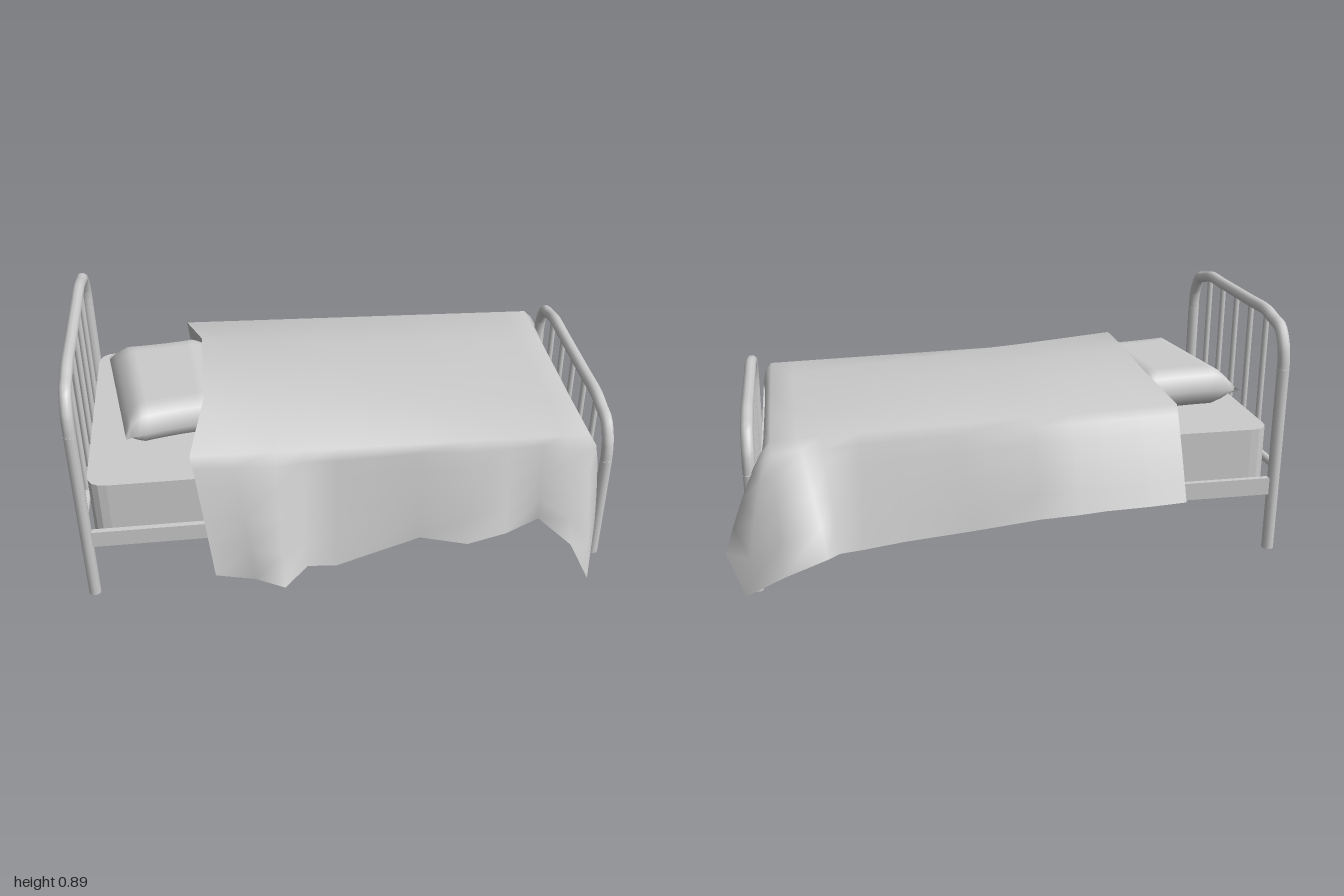
import * as THREE from 'three';
import { mergeVertices } from 'three/addons/utils/BufferGeometryUtils.js';

const MID_Z = -0.014; // centre line of the metal frame
const metal = new THREE.MeshStandardMaterial({ color: 0xcccccc });
const cloth = new THREE.MeshStandardMaterial({ color: 0xcccccc, side: THREE.DoubleSide });
const lerp = THREE.MathUtils.lerp;

function add(parent, name, geometry, material = metal) {
  const mesh = new THREE.Mesh(geometry, material);
  mesh.name = name;
  parent.add(mesh);
  return mesh;
}

// Upright rod between two heights
function rod(parent, name, r, y0, y1, z) {
  add(parent, name, new THREE.CylinderGeometry(r, r, y1 - y0, 10)).position.set(0, (y0 + y1) / 2, z);
}

// Arched end frame with legs, five bars and a cross rail
function endFrame(name, x, top, railY) {
  const g = new THREE.Group();
  g.name = name;
  g.position.set(x, 0, MID_Z);
  const half = [[0.461, -0.17], [0.459, -0.135], [0.449, -0.09], [0.409, -0.031], [0.35, -0.016], [0.279, 0], [0.14, 0]];
  const points = half.map(([z, y]) => new THREE.Vector3(0, top + y, z));
  const mirrored = half.map(([z, y]) => new THREE.Vector3(0, top + y, -z)).reverse();
  const curve = new THREE.CatmullRomCurve3([...points, ...mirrored]);
  add(g, 'arch', new THREE.TubeGeometry(curve, 56, 0.022, 10));
  for (const s of [-1, 1]) rod(g, 'leg', 0.022, 0, top - 0.17, s * 0.461);
  for (let i = -2; i <= 2; i++) rod(g, 'bar', 0.011, railY, top, i * 0.143);
  const rail = add(g, 'crossRail', new THREE.CylinderGeometry(0.015, 0.015, 0.92, 10));
  rail.rotation.x = Math.PI / 2;
  rail.position.y = railY;
  return g;
}

// Mattress slab with rounded corners
function mattressGeometry() {
  const x0 = -0.955, x1 = 0.865, z0 = -0.46, z1 = 0.43, r = 0.07;
  const s = new THREE.Shape();
  s.moveTo(x0 + r, z0);
  s.lineTo(x1 - r, z0);
  s.quadraticCurveTo(x1, z0, x1, z0 + r);
  s.lineTo(x1, z1 - r);
  s.quadraticCurveTo(x1, z1, x1 - r, z1);
  s.lineTo(x0 + r, z1);
  s.quadraticCurveTo(x0, z1, x0, z1 - r);
  s.lineTo(x0, z0 + r);
  s.quadraticCurveTo(x0, z0, x0 + r, z0);
  return new THREE.ExtrudeGeometry(s, { depth: 0.24, bevelEnabled: false, curveSegments: 4 })
    .rotateX(Math.PI / 2).translate(0, 0.47, 0);
}

// Pillow: a box pinched to a seam and skewed to four corners
function pillowGeometry() {
  let geo = new THREE.BoxGeometry(2, 2, 2, 16, 1, 16);
  const p = geo.attributes.position;
  for (let i = 0; i < p.count; i++) {
    const u = p.getX(i), v = p.getZ(i), a = (u + 1) / 2, b = (v + 1) / 2;
    const puff = Math.min(1, (1 - Math.abs(u)) / 0.35) * Math.min(1, (1 - Math.abs(v)) / 0.2);
    const pinch = 1 - 0.05 * (1 - u * u);
    p.setXYZ(i,
      lerp(lerp(-0.9, -0.5, a), lerp(-0.81, -0.46, a), b),
      0.567 + 0.072 * p.getY(i) * Math.pow(puff, 0.7),
      lerp(lerp(-0.29, -0.33, a), lerp(0.3, 0.23, a), b) * pinch);
  }
  geo.deleteAttribute('normal');
  geo.deleteAttribute('uv');
  geo = mergeVertices(geo, 1e-4);
  geo.computeVertexNormals();
  return geo;
}

// Blanket: a crowned top sheet and a skirt that falls to an uneven hem
function blanketGeometry() {
  const xs = [-0.59, -0.45, -0.3, -0.2, -0.08, 0.2, 0.4, 0.53, 0.66, 0.74, 0.83];
  const zs = [0.44, 0.22, 0, -0.22, -0.47];
  const crown = [0, 1, 1, 0.85, 0.15];
  const topPoint = (i, j) => {
    const t = (xs[i] - xs[0]) / (xs[10] - xs[0]);
    const inner = j > 0 && j < 4;
    return [
      inner ? lerp(-0.53, 0.83, t) : xs[i],
      lerp(lerp(0.575, 0.545, t), lerp(0.67, 0.55, t), crown[j]),
      zs[j],
    ];
  };
  const frontHem = [[-0.53, 0.14, 0.57], [-0.39, 0.125, 0.59], [-0.29, 0.165, 0.69], [-0.2, 0.13, 0.55],
    [-0.09, 0.09, 0.515], [0.22, 0.17, 0.49], [0.38, 0.19, 0.57], [0.53, 0.2, 0.54],
    [0.66, 0.22, 0.495], [0.75, 0.19, 0.62], [0.84, 0, 0.6]];
  const footHem = [[0.89, 0.16, 0.47], [0.88, 0.13, 0.26], [0.88, 0.16, 0], [0.88, 0.18, -0.24], [0.89, 0.23, -0.47]];
  const cornerHem = [[1, 0.17, -0.53], [0.94, 0.03, -0.58]];
  const backHem = [[-0.58, 0.29, -0.65], [-0.45, 0.28, -0.643], [-0.3, 0.27, -0.63], [-0.2, 0.26, -0.625],
    [-0.07, 0.25, -0.615], [0.15, 0.2, -0.56], [0.4, 0.18, -0.563], [0.53, 0.165, -0.567],
    [0.62, 0.16, -0.575], [0.66, 0.2, -0.69], [0.81, 0.15, -0.7]];

  // Columns of the skirt: top edge, hem and how quickly the cloth turns down
  const columns = [
    ...frontHem.map((hem, i) => [topPoint(i, 0), hem, 0.9]),
    ...footHem.map((hem, j) => [topPoint(10, j), hem, 0.35]),
    ...cornerHem.map((hem) => [topPoint(10, 4), hem, 0.7]),
    ...backHem.map((hem, i) => [topPoint(i, 4), hem, 0.9]).reverse(),
  ];
  const drops = [0, 0.1, 0.25, 0.5, 0.75, 1];
  const positions = [], index = [];
  const quad = (a, b, c, d) => index.push(a, b, c, c, b, d);

  xs.forEach((_, i) => zs.forEach((__, j) => {
    positions.push(...topPoint(i, j));
    const a = i * 5 + j;
    if (i < 10 && j < 4) quad(a, a + 5, a + 1, a + 6);
  }));
  const base = positions.length / 3, n = drops.length;
  columns.forEach(([edge, hem, ease], i) => drops.forEach((t, k) => {
    const h = Math.pow(t, ease);
    positions.push(lerp(edge[0], hem[0], h), lerp(edge[1], hem[1], t), lerp(edge[2], hem[2], h));
    const a = base + i * n + k;
    if (i < columns.length - 1 && k < n - 1) quad(a, a + 1, a + n, a + n + 1);
  }));

  let geo = new THREE.BufferGeometry();
  geo.setAttribute('position', new THREE.Float32BufferAttribute(positions, 3));
  geo.setIndex(index);
  geo = mergeVertices(geo, 1e-4);
  geo.computeVertexNormals();
  return geo;
}

export function createModel() {
  const bed = new THREE.Group();
  bed.name = 'bed';
  bed.add(endFrame('headFrame', -0.977, 0.872, 0.33));
  bed.add(endFrame('footFrame', 0.905, 0.602, 0.09));
  for (const s of [-1, 1]) {
    add(bed, 'sideRail', new THREE.BoxGeometry(1.88, 0.065, 0.02))
      .position.set(-0.036, 0.253, MID_Z + s * 0.461);
  }
  add(bed, 'mattress', mattressGeometry());
  add(bed, 'pillow', pillowGeometry());
  add(bed, 'blanket', blanketGeometry(), cloth);
  return bed;
}
